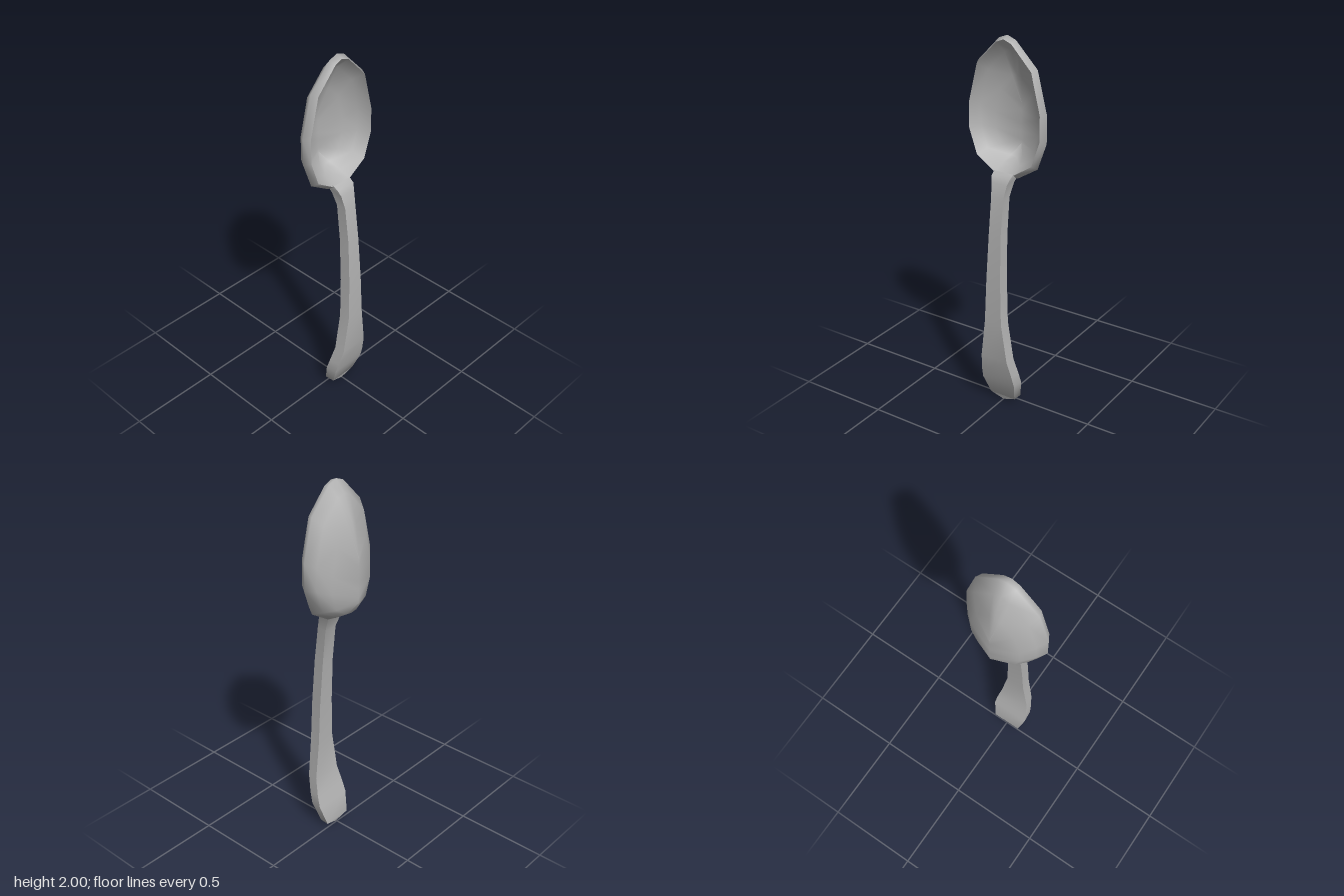
import * as THREE from 'three';
import { toCreasedNormals } from 'three/addons/utils/BufferGeometryUtils.js';

// Skin a series of closed rings (arrays of [x, y, z]); creases sharper than the angle stay hard
function loft(rings, crease) {
  const n = rings[0].length, points = rings.flat(), index = [];
  const width = (...ids) => Math.max(...ids.map((i) => Math.abs(points[i][0])));
  for (let r = 0; r < rings.length - 1; r++) {
    for (let i = 0; i < n; i++) {
      const a = r * n + i, b = r * n + (i + 1) % n, c = b + n, d = a + n;
      // Split each quad from its widest corner, which keeps the form convex and symmetrical
      if (width(a, c) >= width(b, d)) index.push(a, b, c, a, c, d);
      else index.push(a, b, d, b, c, d);
    }
  }
  const geo = new THREE.BufferGeometry();
  geo.setAttribute('position', new THREE.Float32BufferAttribute(points.flat(), 3));
  geo.setIndex(index);
  return toCreasedNormals(geo, crease);
}

// Right half of the bowl outline, bottom to top: x as share of half width, y as share of height
const half = [[0.27, 0.01], [0.78, 0.11], [1, 0.305], [1, 0.5], [0.755, 0.8], [0.21, 0.975]];
const outline = [[0, 0], ...half, [0, 1], ...half.map(([x, y]) => [-x, y]).reverse()];
const bowlRing = ([w, y0, y1, z]) => outline.map(([x, y]) => [x * w, y0 + y * (y1 - y0), z]);

export function createModel() {
  const group = new THREE.Group();
  group.name = 'spoon';
  const steel = new THREE.MeshStandardMaterial({ color: 0xb2b2b2, side: THREE.DoubleSide });
  steel.name = 'steel grey';
  const add = (name, geo) => {
    const mesh = new THREE.Mesh(geo, steel);
    mesh.name = name;
    group.add(mesh);
  };

  // Bowl back: half width, bottom, top, z from the ridge forward to the rim
  add('bowlBack', loft([
    [0, 1.40, 1.64, -0.14],
    [0.137, 1.335, 1.81, -0.095],
    [0.192, 1.305, 1.94, -0.045],
    [0.225, 1.28, 2.0, 0.003],
    [0.205, 1.305, 1.985, 0.037],
  ].map(bowlRing), 1.5));

  // Hollow, from the rim down to its floor
  add('bowlHollow', loft([
    [0.205, 1.305, 1.985, 0.037],
    [0.18, 1.335, 1.92, -0.03],
    [0.126, 1.365, 1.79, -0.08],
    [0, 1.42, 1.64, -0.122],
  ].map(bowlRing), 1.5));

  // Handle: y, half width, front z, back z, slightly narrower on its front face
  add('handle', loft([
    [0.003, 0, 0.043, 0.006],
    [0.03, 0.08, 0.05, -0.003],
    [0.14, 0.105, 0.092, 0.03],
    [0.2, 0.1, 0.108, 0.048],
    [0.3, 0.084, 0.132, 0.074],
    [0.52, 0.053, 0.14, 0.08],
    [0.75, 0.045, 0.135, 0.076],
    [1.0, 0.038, 0.12, 0.062],
    [1.2, 0.038, 0.096, 0.042],
    [1.27, 0.048, 0.078, 0.016],
    [1.3, 0.058, 0.064, 0.0],
    [1.318, 0.06, 0.037, 0.0],
  ].map(([y, w, f, b]) => [[-w * 0.94, y, f], [w * 0.94, y, f], [w, y, b], [-w, y, b]]), 1.2));

  return group;
}
